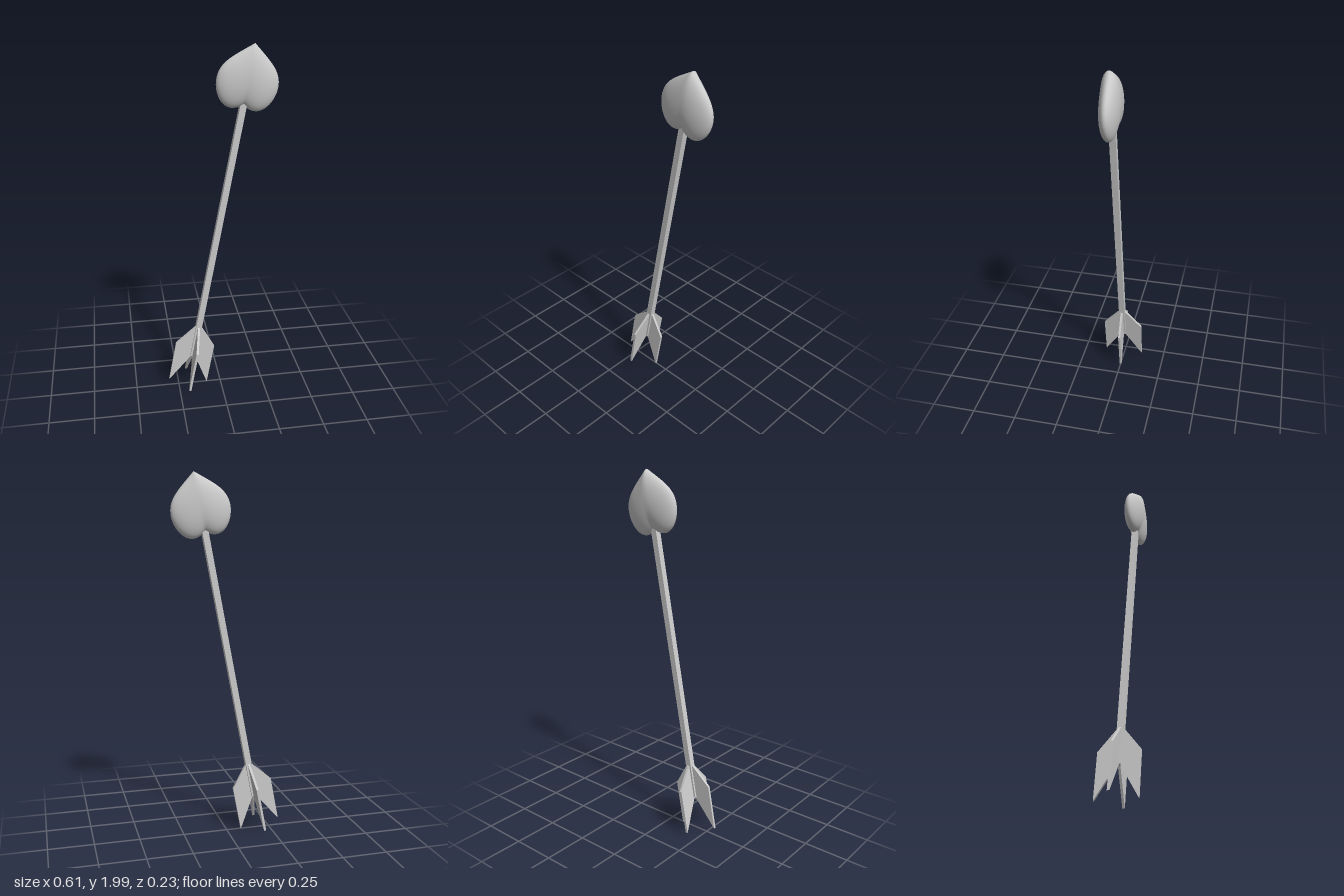
import * as THREE from 'three';
import { mergeVertices } from 'three/addons/utils/BufferGeometryUtils.js';

const material = new THREE.MeshStandardMaterial({ color: 0xcccccc });
const flatMaterial = new THREE.MeshStandardMaterial({ color: 0xcccccc, flatShading: true });

// Heart head: an ellipsoid whose columns slide down away from the middle
function heartGeometry() {
  let geo = new THREE.SphereGeometry(1, 48, 32);
  geo.scale(0.163, 0.157, 0.052);
  const p = geo.attributes.position;
  for (let i = 0; i < p.count; i++) {
    const x = Math.abs(p.getX(i));
    p.setY(i, p.getY(i) - 0.8 * x + 3.2 * x * x);
  }
  geo.deleteAttribute('uv');
  geo.deleteAttribute('normal');
  geo = mergeVertices(geo, 1e-5);
  geo.computeVertexNormals();
  return geo;
}

// Swept-back feather plate, rooted inside the shaft
function finGeometry(thickness) {
  const shape = new THREE.Shape([
    [0.01, 0.204], [0.01, 0], [0.114, -0.176], [0.114, 0.074],
  ].map(([x, y]) => new THREE.Vector2(x, y)));
  const geo = new THREE.ExtrudeGeometry(shape, { depth: thickness, bevelEnabled: false });
  return geo.translate(0, 0, -thickness / 2);
}

export function createModel() {
  const model = new THREE.Group();
  model.name = 'heartArrow';

  // Arrow is built upright from the shaft's lower end, then tilted
  const arrow = new THREE.Group();
  arrow.name = 'arrow';
  arrow.position.set(-0.162, 0.198, 0);
  arrow.rotation.z = -THREE.MathUtils.degToRad(10.7);
  model.add(arrow);

  // Square shaft, its top hidden in the head
  const length = 1.56;
  const shaft = new THREE.Mesh(new THREE.BoxGeometry(0.034, length, 0.034), flatMaterial);
  shaft.name = 'shaft';
  shaft.position.y = length / 2;
  arrow.add(shaft);

  const head = new THREE.Mesh(heartGeometry(), material);
  head.name = 'heartHead';
  head.position.y = 1.675;
  arrow.add(head);

  // Four fins around the tail
  const finGeo = finGeometry(0.013);
  for (let i = 0; i < 4; i++) {
    const fin = new THREE.Mesh(finGeo, flatMaterial);
    fin.name = `fin${i + 1}`;
    fin.rotation.y = i * Math.PI / 2;
    arrow.add(fin);
  }

  return model;
}
